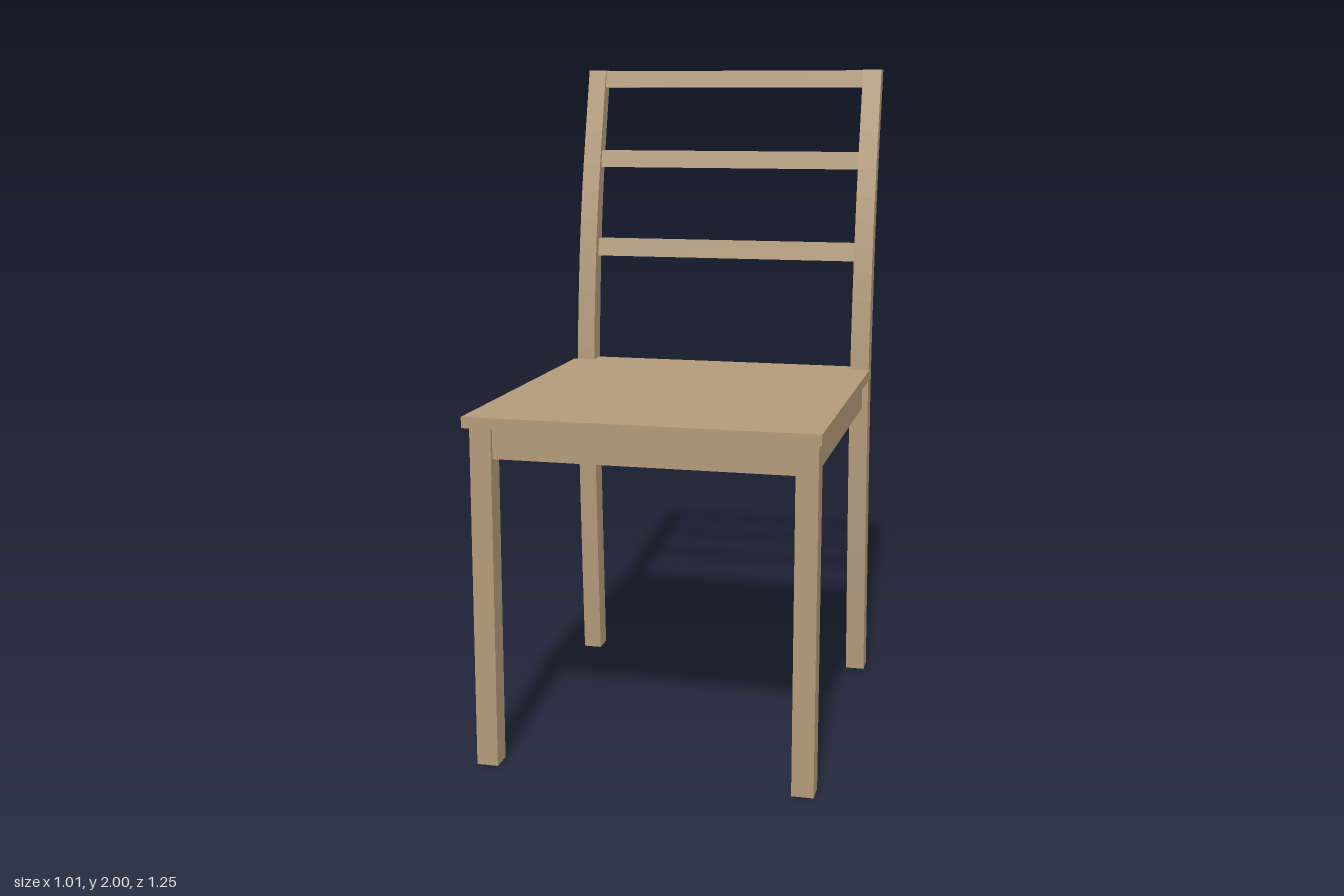
import * as THREE from 'three';

const wood = new THREE.MeshStandardMaterial({ color: 0xb39a78, flatShading: true });

// Extrudes a side profile of [z, y] points across x from x0 to x1.
function profileAcross(name, points, x0, x1) {
  const shape = new THREE.Shape(points.map(([z, y]) => new THREE.Vector2(z, y)));
  const geo = new THREE.ExtrudeGeometry(shape, { depth: x1 - x0, bevelEnabled: false });
  geo.rotateY(-Math.PI / 2).translate(x1, 0, 0);
  const mesh = new THREE.Mesh(geo, wood);
  mesh.name = name;
  return mesh;
}

// Box given by its limits on each axis.
function boxBetween(name, [x0, x1], [y0, y1], [z0, z1]) {
  const geo = new THREE.BoxGeometry(x1 - x0, y1 - y0, z1 - z0);
  geo.translate((x0 + x1) / 2, (y0 + y1) / 2, (z0 + z1) / 2);
  const mesh = new THREE.Mesh(geo, wood);
  mesh.name = name;
  return mesh;
}

// Smooth edge line of a back post, running upwards.
function edgeLine(points) {
  return new THREE.SplineCurve(points.map(([z, y]) => new THREE.Vector2(z, y)))
    .getPoints(20).map((p) => [p.x, p.y]);
}

export function createModel() {
  const chair = new THREE.Group();
  chair.name = 'chair';

  // Seat board, notched around the back posts
  const seatShape = new THREE.Shape([
    [-0.507, -0.625], [0.507, -0.625], [0.505, 0.4], [0.44, 0.4],
    [0.44, 0.458], [-0.43, 0.458], [-0.43, 0.4], [-0.5, 0.4],
  ].map(([x, y]) => new THREE.Vector2(x, y)));
  const seatGeo = new THREE.ExtrudeGeometry(seatShape, { depth: 0.032, bevelEnabled: false });
  seatGeo.rotateX(-Math.PI / 2).translate(0, 1.006, 0);
  const seat = new THREE.Mesh(seatGeo, wood);
  seat.name = 'seat';
  chair.add(seat);

  // Curved back posts, which are also the rear legs
  const front = edgeLine([[-0.435, 0], [-0.411, 0.45], [-0.396, 0.85], [-0.4, 1.08],
    [-0.432, 1.38], [-0.482, 1.65], [-0.573, 2]]);
  const back = edgeLine([[-0.502, 0], [-0.48, 0.45], [-0.464, 0.85], [-0.467, 1.08],
    [-0.493, 1.38], [-0.536, 1.65], [-0.624, 2]]);
  const post = [...back, ...front.reverse()].reverse();
  chair.add(profileAcross('leftBackPost', post, 0.442, 0.502));
  chair.add(profileAcross('rightBackPost', post, -0.488, -0.43));

  for (const side of [1, -1]) {
    const label = side > 0 ? 'left' : 'right';
    const span = (a, b) => (side > 0 ? [a, b] : [-b, -a]);
    // Front leg
    chair.add(profileAcross(label + 'FrontLeg',
      [[0.535, 0], [0.6, 0], [0.595, 1.006], [0.53, 1.006]], ...span(0.432, 0.495)));
    // Side apron
    chair.add(boxBetween(label + 'SideApron', span(0.445, 0.483), [0.912, 1.006], [-0.4, 0.532]));
  }

  // Front and back aprons
  chair.add(boxBetween('frontApron', [-0.435, 0.435], [0.912, 1.006], [0.545, 0.583]));
  chair.add(boxBetween('backApron', [-0.432, 0.445], [0.912, 1.006], [-0.452, -0.412]));

  // Back slats, leaning with the posts: bottom y, top y, front z at the bottom, lean
  const slats = [[1.385, 1.442, -0.458, 0.012], [1.68, 1.735, -0.505, 0.012], [1.943, 1.998, -0.568, 0.012]];
  slats.forEach(([y0, y1, z, lean], i) => {
    chair.add(profileAcross('backSlat' + (i + 1),
      [[z - 0.031, y0], [z, y0], [z - lean, y1], [z - lean - 0.031, y1]], -0.435, 0.447));
  });

  return chair;
}
